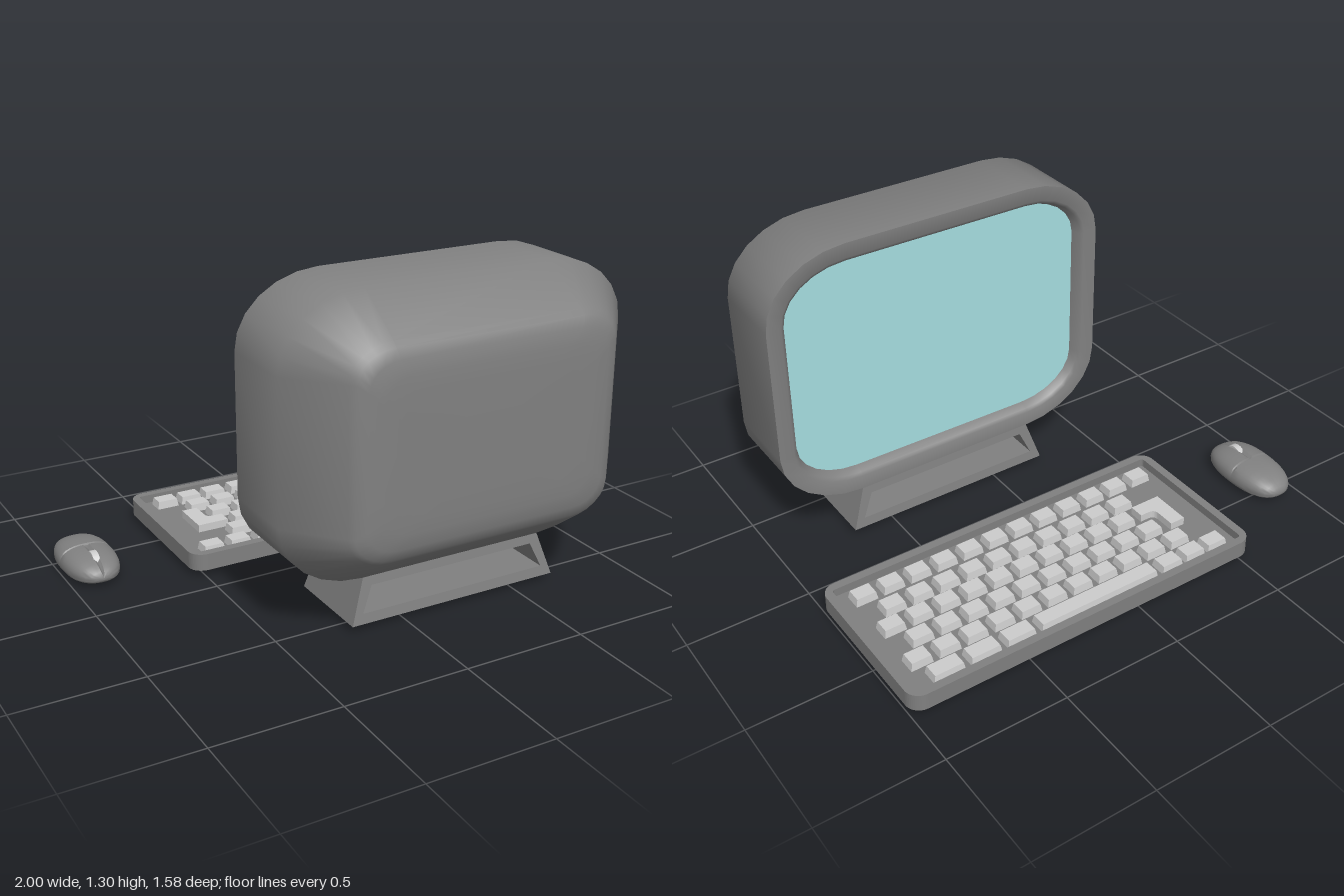
import * as THREE from 'three';
import { toCreasedNormals } from 'three/addons/utils/BufferGeometryUtils.js';

const bodyMat = new THREE.MeshStandardMaterial({ color: 0x808080 });
const lightMat = new THREE.MeshStandardMaterial({ color: 0xcccccc });
const screenMat = new THREE.MeshStandardMaterial({ color: 0xa5dde0 });

function add(parent, name, geometry, material) {
  const mesh = new THREE.Mesh(geometry, material);
  mesh.name = name;
  parent.add(mesh);
  return mesh;
}

// Skin over closed rings (counter-clockwise seen from +z, going towards +z)
function loft(rings, capStart, capEnd, crease) {
  const n = rings[0].length, pos = [], idx = [];
  rings.forEach(r => r.forEach(p => pos.push(...p)));
  for (let i = 0; i < rings.length - 1; i++) {
    for (let j = 0; j < n; j++) {
      const a = i * n + j, b = i * n + (j + 1) % n;
      idx.push(a, b, b + n, a, b + n, a + n);
    }
  }
  const cap = (i, flip) => {
    const c = pos.length / 3, mid = [0, 0, 0];
    rings[i].forEach(p => p.forEach((v, k) => { mid[k] += v / n; }));
    pos.push(...mid);
    for (let j = 0; j < n; j++) {
      const a = i * n + j, b = i * n + (j + 1) % n;
      idx.push(c, flip ? b : a, flip ? a : b);
    }
  };
  if (capStart) cap(0, true);
  if (capEnd) cap(rings.length - 1, false);
  const g = new THREE.BufferGeometry();
  g.setAttribute('position', new THREE.Float32BufferAttribute(pos, 3));
  g.setIndex(idx);
  return toCreasedNormals(g, crease);
}

// Rounded outline of the monitor at depth z, drawn in by an inset
function monitorRing(z, ix, iy = ix) {
  const hx = 0.735 - ix, hy = 0.55 - iy;
  const rx = Math.max(0.34 - ix, 0.12), ry = Math.max(0.27 - iy, 0.1);
  const ring = [], seg = 6;
  for (let q = 0; q < 4; q++) {
    const sx = q === 0 || q === 3 ? 1 : -1, sy = q < 2 ? 1 : -1;
    for (let k = 0; k <= seg; k++) {
      const t = (q + k / seg) * Math.PI / 2;
      ring.push([0.225 + sx * (hx - rx) + rx * Math.cos(t), 0.75 + sy * (hy - ry) + ry * Math.sin(t), z]);
    }
  }
  return ring;
}

function makeMonitor() {
  const g = new THREE.Group();
  g.name = 'monitor';
  // Screen recess, bezel, straight sides, tapered and rounded back
  const profile = [
    [0.275, 0.09], [0.24, 0.075], [0.23, 0.06], [0.23, 0], [0.555, 0],
    [0.745, 0.17, 0.14], [0.765, 0.19, 0.16], [0.78, 0.23, 0.2], [0.788, 0.29, 0.255], [0.79, 0.36, 0.32],
  ];
  add(g, 'monitorShell', loft(profile.map(p => monitorRing(...p)), false, true, 0.8), bodyMat);
  add(g, 'screen', loft([monitorRing(0.274, 0.088)], true, false, 0.5), screenMat);

  // Hollow trapezoid foot, deeper at the bottom than at the top
  const trapezoid = (Ctor, w0, y0, w1, y1) => new Ctor(
    [[-w0, y0], [w0, y0], [w1, y1], [-w1, y1]].map(p => new THREE.Vector2(...p)));
  const shape = trapezoid(THREE.Shape, 0.453, 0.025, 0.393, 0.205);
  shape.holes.push(trapezoid(THREE.Path, 0.405, 0.065, 0.36, 0.165));
  const foot = new THREE.ExtrudeGeometry(shape, { depth: 1, bevelEnabled: false });
  const p = foot.attributes.position;
  for (let i = 0; i < p.count; i++) {
    const t = (p.getY(i) - 0.025) / 0.18;
    p.setZ(i, THREE.MathUtils.lerp(
      THREE.MathUtils.lerp(0.208, 0.232, t), THREE.MathUtils.lerp(0.585, 0.555, t), p.getZ(i)));
  }
  foot.computeVertexNormals();
  add(g, 'stand', foot, bodyMat).position.x = 0.228;
  return g;
}

// Rounded rectangle on the ground plan (y of the shape is -z)
function roundedRect(Ctor, x0, x1, y0, y1, r) {
  const s = new Ctor();
  s.absarc(x1 - r, y0 + r, r, -Math.PI / 2, 0);
  s.absarc(x1 - r, y1 - r, r, 0, Math.PI / 2);
  s.absarc(x0 + r, y1 - r, r, Math.PI / 2, Math.PI);
  s.absarc(x0 + r, y0 + r, r, Math.PI, Math.PI * 1.5);
  s.closePath();
  return s;
}

function slab(shape, y, height) {
  return new THREE.ExtrudeGeometry(shape, { depth: height, bevelEnabled: false, curveSegments: 6 })
    .rotateX(-Math.PI / 2).translate(0, y, 0);
}

function makeKeyboard() {
  const g = new THREE.Group();
  g.name = 'keyboard';
  const outline = () => roundedRect(THREE.Shape, -0.55, 1, 0.1, 0.79, 0.06);
  add(g, 'keyboardBase', slab(outline(), 0.025, 0.035), bodyMat);
  const rim = outline();
  rim.holes.push(roundedRect(THREE.Path, -0.515, 0.965, 0.135, 0.757, 0.012));
  add(g, 'keyboardRim', slab(rim, 0.06, 0.035), bodyMat);

  // Keycap: box with a slightly smaller top
  const key = (x0, x1, z) => {
    const w = x1 - x0, geo = new THREE.BoxGeometry(w, 0.032, 0.07);
    const p = geo.attributes.position;
    for (let i = 0; i < p.count; i++) {
      if (p.getY(i) > 0) {
        p.setX(i, p.getX(i) * (1 - 0.012 / w));
        p.setZ(i, p.getZ(i) * 0.86);
      }
    }
    geo.computeVertexNormals();
    add(g, 'key', geo, lightMat).position.set((x0 + x1) / 2, 0.076, z);
  };
  // Even rows: first key, number of keys, z
  const rows = [[-0.355, 11, -0.603], [-0.302, 10, -0.505], [-0.243, 10, -0.405], [-0.302, 10, -0.308], [-0.475, 12, -0.2]];
  for (const [x, count, z] of rows) {
    for (let i = 0; i < count; i++) key(x + i * 0.118, x + i * 0.118 + 0.092, z);
  }
  // Row with the space bar
  const wide = [[-0.465, -0.37], [-0.355, -0.26], [-0.243, -0.145], [-0.12, 0.42], [0.445, 0.57], [0.595, 0.725], [0.75, 0.88]];
  for (const [a, b] of wide) key(a, b, -0.7);
  // L-shaped enter key
  const s = new THREE.Shape();
  s.moveTo(-0.408, 0.37);
  s.lineTo(-0.275, 0.37);
  s.lineTo(-0.275, 0.432);
  s.lineTo(-0.315, 0.432);
  s.quadraticCurveTo(-0.342, 0.434, -0.342, 0.46);
  s.lineTo(-0.342, 0.54);
  s.lineTo(-0.408, 0.54);
  add(g, 'enterKey', slab(s, 0.06, 0.032), lightMat);
  return g;
}

function makeMouse() {
  const g = new THREE.Group();
  g.name = 'mouse';
  // Sections along z; a narrow step forms the cross groove, a dip the button seam
  const stations = [-0.999, -0.98, -0.94, -0.87, -0.76, -0.6, -0.42, -0.22, -0.05, -0.03, -0.01, 0.01,
    0.15, 0.3, 0.45, 0.6, 0.76, 0.87, 0.94, 0.98, 0.999];
  const angles = [];
  for (let a = 0; a < 360; a += 12) if (a !== 84 && a !== 96) angles.push(a);
  angles.push(78, 86, 90, 94, 102);
  angles.sort((a, b) => a - b);
  const unique = angles.filter((a, i) => a !== angles[i - 1]);
  const power = (v, e) => Math.sign(v) * Math.pow(Math.abs(v), e);
  const rings = stations.map((u, i) => {
    const f = 1 - Math.pow(Math.abs(u), 2.5);
    const groove = i === 9 || i === 10;
    const w = 0.111 * Math.pow(f, 0.42), top = 0.068 * Math.pow(f, 0.5), bottom = 0.04 * Math.pow(f, 0.4);
    return unique.map(deg => {
      const t = deg * Math.PI / 180, c = Math.cos(t), s = Math.sin(t);
      let y = 0.04 + power(s, 0.8) * (s > 0 ? top : bottom);
      if (groove && s > 0.1) y -= 0.008 * s;
      if (deg === 90 && u > 0) y -= Math.min(0.01, top * 0.4);
      return [-0.89 + power(c, 0.8) * w, y, -0.397 + u * 0.197];
    });
  });
  add(g, 'mouseBody', loft(rings, true, true, 0.7), bodyMat);
  const wheel = new THREE.CylinderGeometry(0.05, 0.05, 0.026, 28).rotateZ(Math.PI / 2);
  add(g, 'scrollWheel', wheel, lightMat).position.set(-0.89, 0.063, -0.31);
  return g;
}

export function createModel() {
  const model = new THREE.Group();
  model.name = 'desktopComputer';
  model.add(makeMonitor(), makeKeyboard(), makeMouse());
  return model;
}
